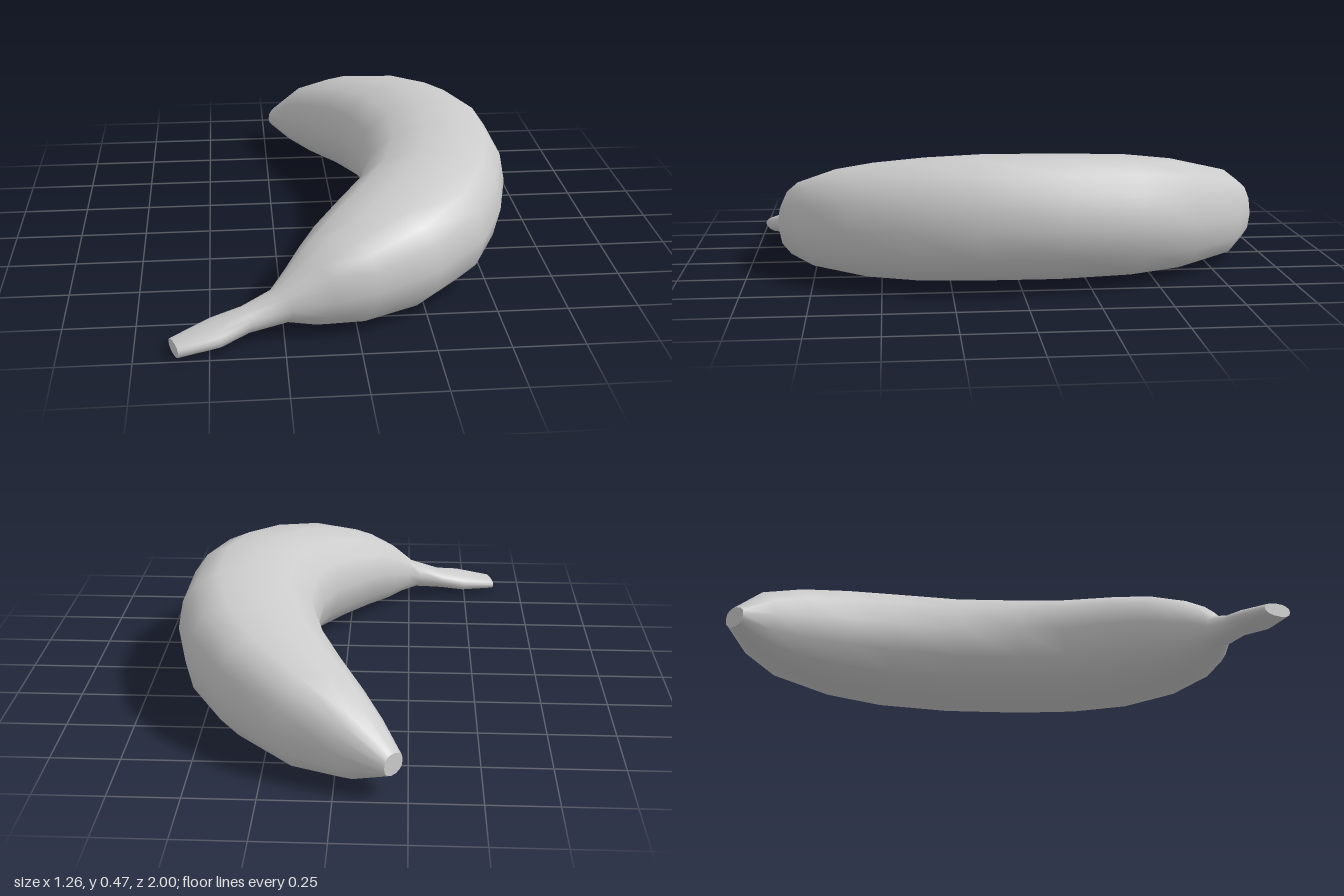
import * as THREE from 'three';

const SIDES = 14;

// Cross-sections from tip to stem: inner x, inner z, outer x, outer z, bottom y, top y
const SECTIONS = [
  [-0.23, -0.93, -0.17, -1.0, 0.09, 0.17],
  [-0.17, -0.82, 0.0, -0.96, 0.035, 0.29],
  [-0.11, -0.7, 0.2, -0.87, 0.01, 0.365],
  [-0.03, -0.54, 0.43, -0.66, 0.01, 0.425],
  [0.04, -0.37, 0.56, -0.44, 0.015, 0.46],
  [0.1, -0.11, 0.63, -0.16, 0.022, 0.478],
  [0.09, 0.12, 0.63, 0.16, 0.022, 0.478],
  [0.04, 0.29, 0.57, 0.4, 0.012, 0.46],
  [-0.07, 0.46, 0.47, 0.61, 0.005, 0.425],
  [-0.15, 0.575, 0.29, 0.79, 0.005, 0.38],
  [-0.2, 0.65, 0.07, 0.89, 0.012, 0.32],
  [-0.25, 0.73, -0.08, 0.905, 0.03, 0.25],
  [-0.3, 0.78, -0.22, 0.885, 0.05, 0.168],
  [-0.4, 0.81, -0.36, 0.915, 0.035, 0.118],
  [-0.5, 0.825, -0.46, 0.98, 0.016, 0.092],
  [-0.635, 0.9, -0.6, 1.0, 0.004, 0.053],
];

// Slightly squared ring, its crown pushed toward the outer curve
function ring([ix, iz, ox, oz, y0, y1]) {
  const soften = (t) => Math.sign(t) * Math.abs(t) ** 0.9;
  return Array.from({ length: SIDES }, (_, j) => {
    const a = (j / SIDES) * Math.PI * 2;
    let u = soften(Math.cos(a));
    const v = soften(Math.sin(a));
    u += 0.16 * Math.max(0, v) * Math.max(0, 1 - u * u);
    const t = (u + 1) / 2;
    return [ix + (ox - ix) * t, y0 + (y1 - y0) * (v + 1) / 2, iz + (oz - iz) * t];
  });
}

function makeMesh(name, points, index, material) {
  const geometry = new THREE.BufferGeometry();
  geometry.setAttribute('position', new THREE.Float32BufferAttribute(points.flat(), 3));
  geometry.setIndex(index);
  geometry.computeVertexNormals();
  const mesh = new THREE.Mesh(geometry, material);
  mesh.name = name;
  return mesh;
}

// Flat end closing a ring
function makeCap(name, points, reversed, material) {
  const index = [];
  for (let j = 1; j < SIDES - 1; j++) index.push(0, ...(reversed ? [j + 1, j] : [j, j + 1]));
  return makeMesh(name, points, index, material);
}

export function createModel() {
  const group = new THREE.Group();
  group.name = 'banana';
  const material = new THREE.MeshStandardMaterial({ color: 0xcccccc });
  const rings = SECTIONS.map(ring);

  // Curved skin lofted through all sections
  const index = [];
  for (let i = 0; i < rings.length - 1; i++) {
    for (let j = 0; j < SIDES; j++) {
      const k = (j + 1) % SIDES;
      const a = i * SIDES + j, b = i * SIDES + k;
      index.push(a, b, b + SIDES, a, b + SIDES, a + SIDES);
    }
  }
  group.add(makeMesh('peel', rings.flat(), index, material));

  // Blossom tip and cut stem end
  group.add(makeCap('tipEnd', rings[0], true, material));
  group.add(makeCap('stemEnd', rings[rings.length - 1], false, material));
  return group;
}
